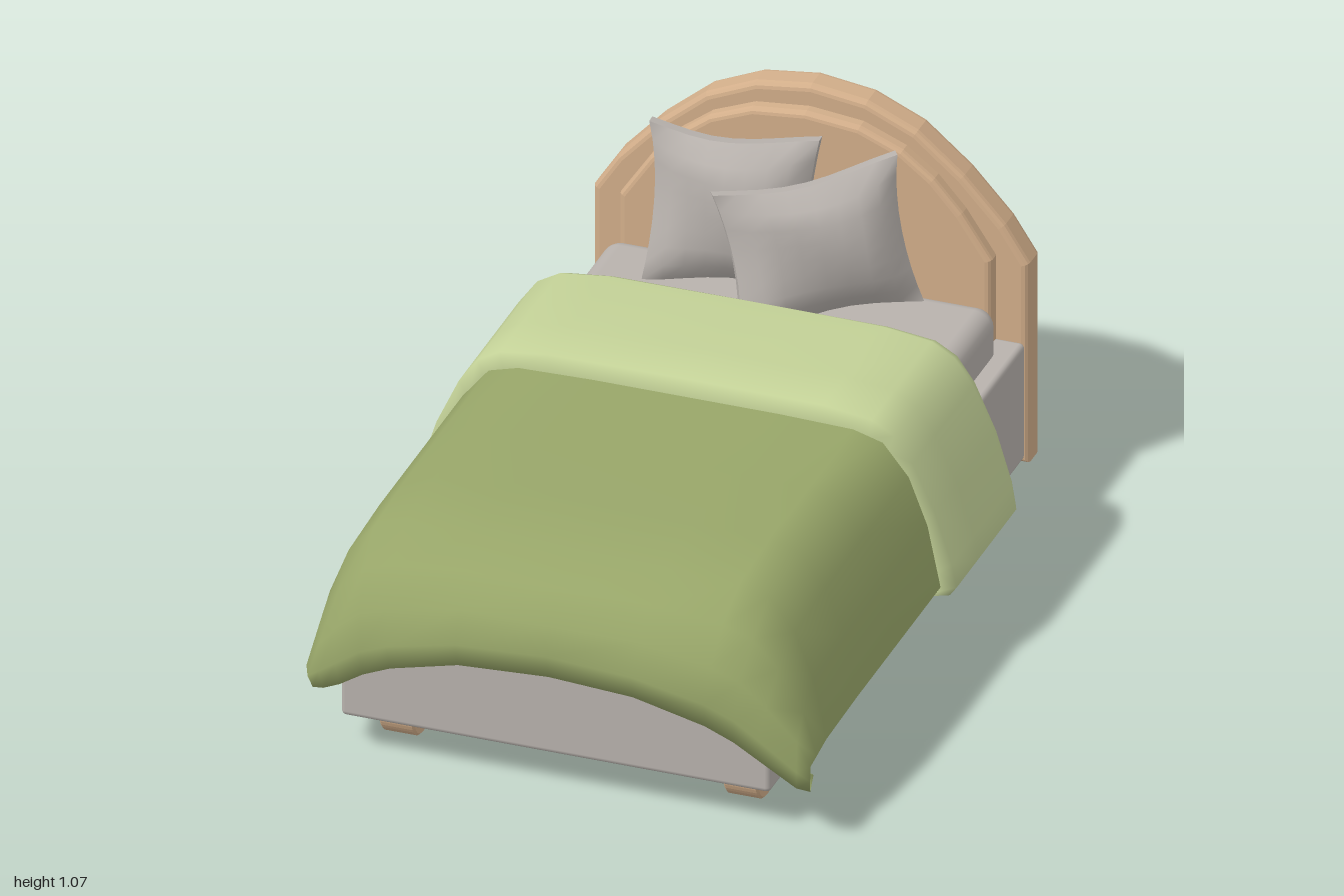
import * as THREE from 'three';
import { RoundedBoxGeometry } from 'three/addons/geometries/RoundedBoxGeometry.js';

const lerp = THREE.MathUtils.lerp;

// Smooth surface through a grid of points: rows run along +z, columns along +x
function loft(rows) {
  const n = rows[0].length, index = [];
  for (let r = 0; r < rows.length - 1; r++) {
    for (let c = 0; c < n - 1; c++) {
      const a = r * n + c, d = a + n;
      index.push(a, d, a + 1, a + 1, d, d + 1);
    }
  }
  const g = new THREE.BufferGeometry();
  g.setAttribute('position', new THREE.Float32BufferAttribute(rows.flat(2), 3));
  g.setIndex(index);
  g.computeVertexNormals();
  return g;
}

// Runs fn(side, j) over a mirrored half profile, from -x through the middle to +x
function mirrored(count, fn) {
  const row = [];
  for (let j = count - 1; j > 0; j--) row.push(fn(-1, j));
  for (let j = 0; j < count; j++) row.push(fn(1, j));
  return row;
}

// Bevelled board with an arched top, given the right half of its arch
function archBoard(half, bottom, zBack, depth, bevel) {
  const pts = [[half[0][0], bottom], ...half];
  for (let i = half.length - 2; i >= 0; i--) pts.push([-half[i][0], half[i][1]]);
  pts.push([-half[0][0], bottom]);
  const shape = new THREE.Shape(pts.map(p => new THREE.Vector2(...p)));
  const g = new THREE.ExtrudeGeometry(shape, {
    depth: depth - 2 * bevel, bevelThickness: bevel, bevelSize: bevel,
    bevelOffset: -bevel, bevelSegments: 3,
  });
  return g.translate(0, 0, zBack + bevel);
}

// Cushion with pinched edges and pointed corners
function pillowGeometry(w, h, t) {
  const g = new THREE.BoxGeometry(2, 2, 2, 8, 8, 1);
  const p = g.attributes.position;
  for (let i = 0; i < p.count; i++) {
    const u = p.getX(i), v = p.getY(i), s = p.getZ(i);
    const puff = Math.pow((1 - u * u) * (1 - v * v), 0.45);
    p.setXYZ(i,
      u * w / 2 * (1 - 0.1 * (1 - v * v)),
      v * h / 2 * (1 - 0.09 * (1 - u * u)),
      s * (0.016 + puff * (t / 2 - 0.016)) + 0.02 * Math.sin(3 * u + 2 * v));
  }
  g.computeVertexNormals();
  return g;
}

function blanketGeometry() {
  // x, drop along the bed, drop at the foot; the last point turns under the hem
  const half = [[0, 0, 0], [0.25, 0, 0], [0.45, 0.005, 0.055], [0.53, 0.028, 0.09],
    [0.6, 0.115, 0.135], [0.65, 0.245, 0.16], [0.685, 0.415, 0.17], [0.67, 0.435, 0.175], [0.58, 0.41, 0.14]];
  // z, height, blend towards the foot, width
  const path = [[-0.06, 0.643, 0, 1], [0.3, 0.643, 0, 1], [0.58, 0.643, 0, 1], [0.8, 0.63, 0.03, 1],
    [0.9, 0.575, 0.3, 0.985], [0.965, 0.5, 0.65, 0.965], [0.995, 0.42, 0.9, 0.95],
    [0.98, 0.355, 1, 0.94], [0.92, 0.37, 1, 0.92]];
  return loft(path.map(([z, y, k, w], r) => mirrored(half.length, (side, j) => {
    const [hx, d0, d1] = half[j];
    const edge = j / (half.length - 1);
    const corner = side > 0 && r > 3 && j > 4 ? Math.min(1, (r - 3) / 3) : 0;
    const wave = r > 5 ? 0.012 * (j === 1 ? 1 : j === 0 ? -1 : 0) : 0;
    return [side * (hx * w + 0.05 * corner), y - lerp(d0, d1, k) - 0.04 * corner,
      z - 0.07 * k * edge * edge + wave];
  })));
}

function foldGeometry() {
  const half = [[0, 0.695], [0.37, 0.692], [0.5, 0.675], [0.56, 0.64], [0.61, 0.57],
    [0.67, 0.44], [0.715, 0.3], [0.728, 0.235], [0.71, 0.21], [0.66, 0.2], [0.58, 0.25]];
  // z, inward offset; the ends turn in to close the band
  const path = [[-0.49, 0.13], [-0.5, 0.06], [-0.487, 0.022], [-0.45, 0], [-0.18, 0], [-0.02, 0], [-0.02, 0.07]];
  return loft(path.map(([z, inset]) => mirrored(half.length, (side, j) => {
    const [x, y] = half[j];
    const s = j / (half.length - 1);
    return [side * x * (1 - inset * s * 1.4), y - inset * (1 - s), z];
  })));
}

// Foot with a flat top and rounded underside, extruded across the bed
function footGeometry() {
  const r = 0.072, s = new THREE.Shape();
  s.moveTo(-r, 0.12);
  s.lineTo(-r, r);
  s.absarc(0, r, r, Math.PI, 2 * Math.PI, false);
  s.lineTo(r, 0.12);
  const b = 0.006;
  const g = new THREE.ExtrudeGeometry(s, {
    depth: 0.095 - 2 * b, bevelThickness: b, bevelSize: b, bevelOffset: -b, bevelSegments: 1, curveSegments: 10,
  });
  return g.translate(0, 0, -0.0475 + b).rotateY(Math.PI / 2);
}

export function createModel() {
  const material = (name, color, side = THREE.FrontSide) => {
    const m = new THREE.MeshStandardMaterial({ color, side });
    m.name = name;
    return m;
  };
  const wood = material('wood', 0xd2ae8a);
  const linen = material('linen', 0xb8b2ad);
  const green = material('blanket green', 0x98a669, THREE.DoubleSide);
  const paleGreen = material('pale green', 0xc3d197, THREE.DoubleSide);

  const model = new THREE.Group();
  model.name = 'bed';
  const add = (name, geometry, mat, x = 0, y = 0, z = 0) => {
    const mesh = new THREE.Mesh(geometry, mat);
    mesh.name = name;
    mesh.position.set(x, y, z);
    model.add(mesh);
    return mesh;
  };

  // Headboard and its raised panel
  add('headboard', archBoard([[0.585, 0.665], [0.52, 0.765], [0.41, 0.885], [0.285, 0.99],
    [0.15, 1.05], [0, 1.07]], 0.09, -1, 0.085, 0.018), wood);
  add('headboardPanel', archBoard([[0.5, 0.68], [0.42, 0.8], [0.345, 0.885], [0.26, 0.95],
    [0.145, 0.997], [0, 1.012]], 0.3, -0.935, 0.06, 0.016), wood);

  // Base and mattress
  add('base', new RoundedBoxGeometry(1.155, 0.335, 1.84, 2, 0.014), linen, 0, 0.2725, 0);
  add('mattress', new RoundedBoxGeometry(1.05, 0.24, 1.75, 4, 0.05), linen, 0, 0.445, 0.005);

  // Feet
  for (const x of [-0.4625, 0.4625]) {
    for (const z of [-0.765, 0.755]) add('foot', footGeometry(), wood, x, 0, z);
  }

  // Bedding
  add('blanket', blanketGeometry(), green);
  add('blanketFold', foldGeometry(), paleGreen);
  add('pillowBack', pillowGeometry(0.44, 0.42, 0.19), linen, -0.155, 0.765, -0.765)
    .rotation.set(-0.12, 0.12, 0, 'YXZ');
  add('pillowFront', pillowGeometry(0.48, 0.39, 0.19), linen, 0.105, 0.748, -0.685)
    .rotation.set(-0.15, 0.55, 0.13, 'YXZ');

  return model;
}
